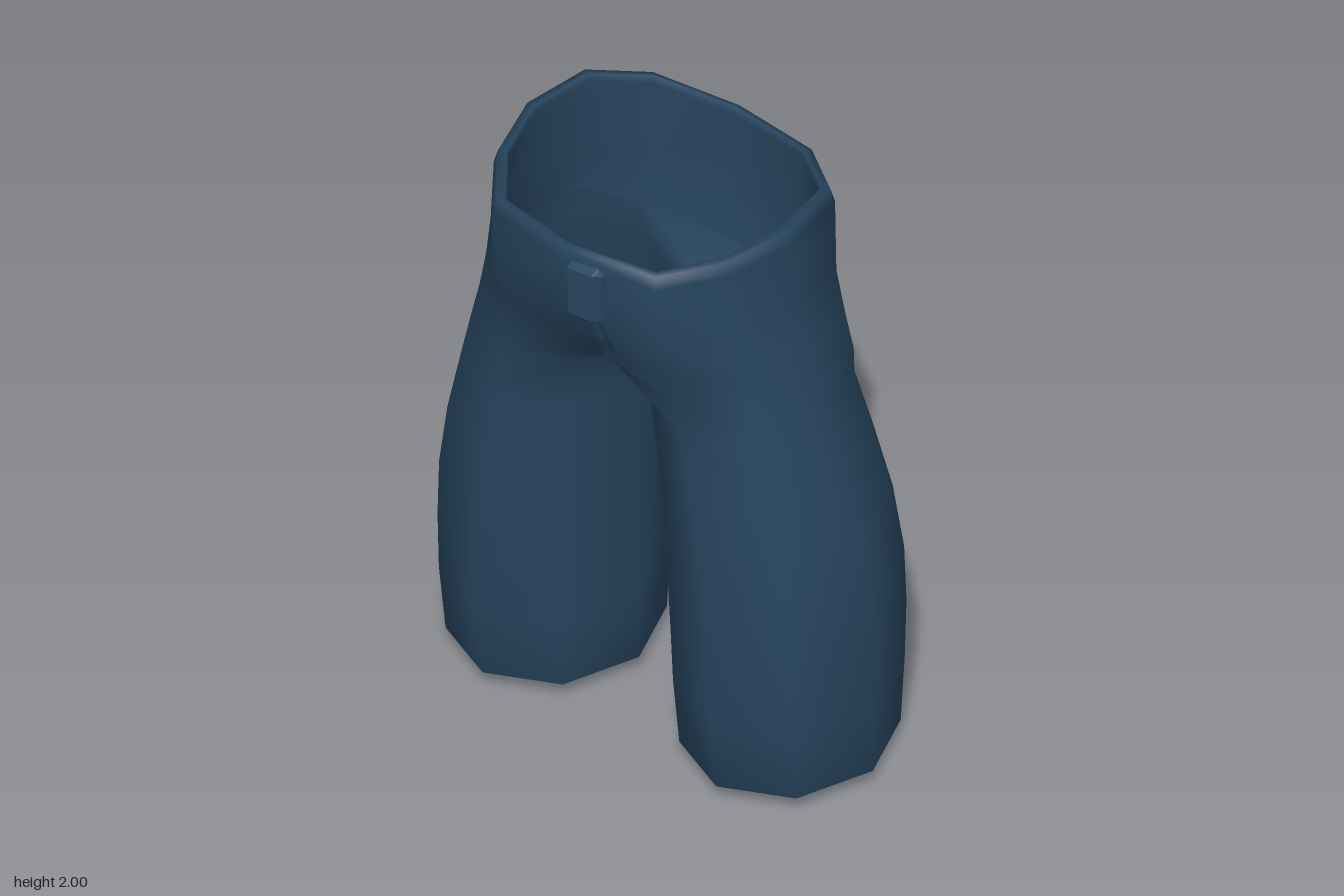
import * as THREE from 'three';
import { mergeVertices } from 'three/addons/utils/BufferGeometryUtils.js';

const denim = new THREE.MeshStandardMaterial({ color: 0x27455f, side: THREE.DoubleSide });
denim.name = 'navy denim';

// Adds the quads between successive rings (listed top to bottom) to a position list.
function loft(out, rings, closed, flip) {
  for (let i = 0; i + 1 < rings.length; i++) {
    const n = closed ? rings[i].length : Math.min(rings[i].length, rings[i + 1].length) - 1;
    for (let j = 0; j < n; j++) {
      const k = (j + 1) % rings[i].length;
      const a = rings[i][j], b = rings[i][k], c = rings[i + 1][k], d = rings[i + 1][j];
      out.push(...(flip ? [a, c, d, a, b, c] : [a, d, c, a, c, b]).flat());
    }
  }
}

function geometryFrom(positions, smooth) {
  let g = new THREE.BufferGeometry();
  g.setAttribute('position', new THREE.Float32BufferAttribute(positions, 3));
  if (smooth) g = mergeVertices(g, 1e-4);
  g.computeVertexNormals();
  return g;
}

function addMesh(group, name, geometry) {
  const mesh = new THREE.Mesh(geometry, denim);
  mesh.name = name;
  group.add(mesh);
}

// Half outline of the waist, from front centre round the left side to back centre.
const WAIST = [[0, 0.44], [0.31, 0.39], [0.45, 0.21], [0.512, -0.01], [0.48, -0.25], [0.31, -0.37], [0, -0.405]];
const waistRing = (drop, scale) =>
  WAIST.map(([x, z]) => [x * scale, 2 - 0.1 * Math.max(0, z) - drop, z * scale]);

const HIP = [[0, 1.74, 0.432], [0.315, 1.72, 0.38], [0.47, 1.71, 0.2], [0.517, 1.7, -0.02],
  [0.485, 1.7, -0.25], [0.31, 1.7, -0.36], [0, 1.72, -0.385]];
const SEAT = [[0, 1.56, 0.335], [0.32, 1.54, 0.315], [0.495, 1.56, 0.19], [0.557, 1.56, -0.03],
  [0.51, 1.55, -0.26], [0.325, 1.53, -0.34], [0, 1.55, -0.345]];
// Where the two legs part; the eighth point is the crotch.
const FORK = [[0, 1.44, 0.23], [0.33, 1.43, 0.3], [0.52, 1.43, 0.19], [0.592, 1.43, -0.035],
  [0.535, 1.42, -0.27], [0.335, 1.42, -0.352], [0, 1.42, -0.24], [0, 1.365, -0.03]];
const shrink = (ring, s) => ring.map(([x, y, z]) => [x * s, y, z * s]);

// Eight-sided leg section given its outer, inner, front and back limits.
function legRing(y, xo, xi, zf, zb) {
  return Array.from({ length: 8 }, (_, j) => {
    const t = ((3 - j) * Math.PI) / 4;
    return [(xo + xi) / 2 + ((xo - xi) / 2) * Math.cos(t), y, (zf + zb) / 2 + ((zf - zb) / 2) * Math.sin(t)];
  });
}

export function createModel() {
  const group = new THREE.Group();
  group.name = 'trousers';

  // Lining, rolled rim and hips, open at the centre line of each half
  const pelvis = [
    shrink(SEAT, 0.94), shrink(HIP, 0.93), waistRing(0.02, 0.905), waistRing(0, 0.925),
    waistRing(0.004, 0.975), waistRing(0.045, 1), HIP, SEAT, FORK.slice(0, 7),
  ];
  // Legs, ending in a turned-in hem
  const legs = [
    FORK,
    legRing(1.335, 0.618, 0.06, 0.302, -0.37),
    legRing(1.15, 0.67, 0.075, 0.303, -0.403),
    legRing(0.92, 0.73, 0.092, 0.307, -0.438),
    legRing(0.7, 0.765, 0.105, 0.31, -0.455),
    legRing(0.5, 0.772, 0.115, 0.308, -0.457),
    legRing(0.3, 0.77, 0.122, 0.3, -0.447),
    legRing(0.06, 0.76, 0.13, 0.27, -0.43),
    legRing(0.02, 0.69, 0.19, 0.21, -0.37),
    legRing(0, 0.65, 0.23, 0.17, -0.33),
  ];
  // Recessed surface inside each hem
  const opening = [
    legRing(0, 0.65, 0.23, 0.17, -0.33),
    legRing(0.04, 0.62, 0.26, 0.14, -0.3),
    legRing(0.045, 0.44, 0.44, -0.08, -0.08),
  ];

  const body = [];
  for (const side of [1, -1]) {
    const mirror = (rings) => rings.map((r) => r.map(([x, y, z]) => [x * side, y, z]));
    loft(body, mirror(pelvis), false, side < 0);
    loft(body, mirror(legs), true, side < 0);
    const cap = [];
    loft(cap, mirror(opening), true, side < 0);
    addMesh(group, side > 0 ? 'leftLegOpening' : 'rightLegOpening', geometryFrom(cap, false));
  }
  addMesh(group, 'waistAndLegs', geometryFrom(body, true));

  // Fly flap following the curve of the front: y, z, sideways shift
  const flap = [[1.925, 0.425, 0], [1.91, 0.458, 0], [1.74, 0.452, 0], [1.64, 0.405, -0.007],
    [1.565, 0.36, -0.02], [1.55, 0.32, -0.025]].map(([y, z, s]) => [
    [0.02 + s, y, z - 0.05], [0.027 + s, y, z], [0.112 + s, y, z - 0.008],
    [0.12 + s, y, z - 0.02], [0.138 + s, y, z - 0.023], [0.145 + s, y, z - 0.06],
  ]);
  const fly = [];
  loft(fly, flap, false, false);
  addMesh(group, 'fly', geometryFrom(fly, false));

  return group;
}
